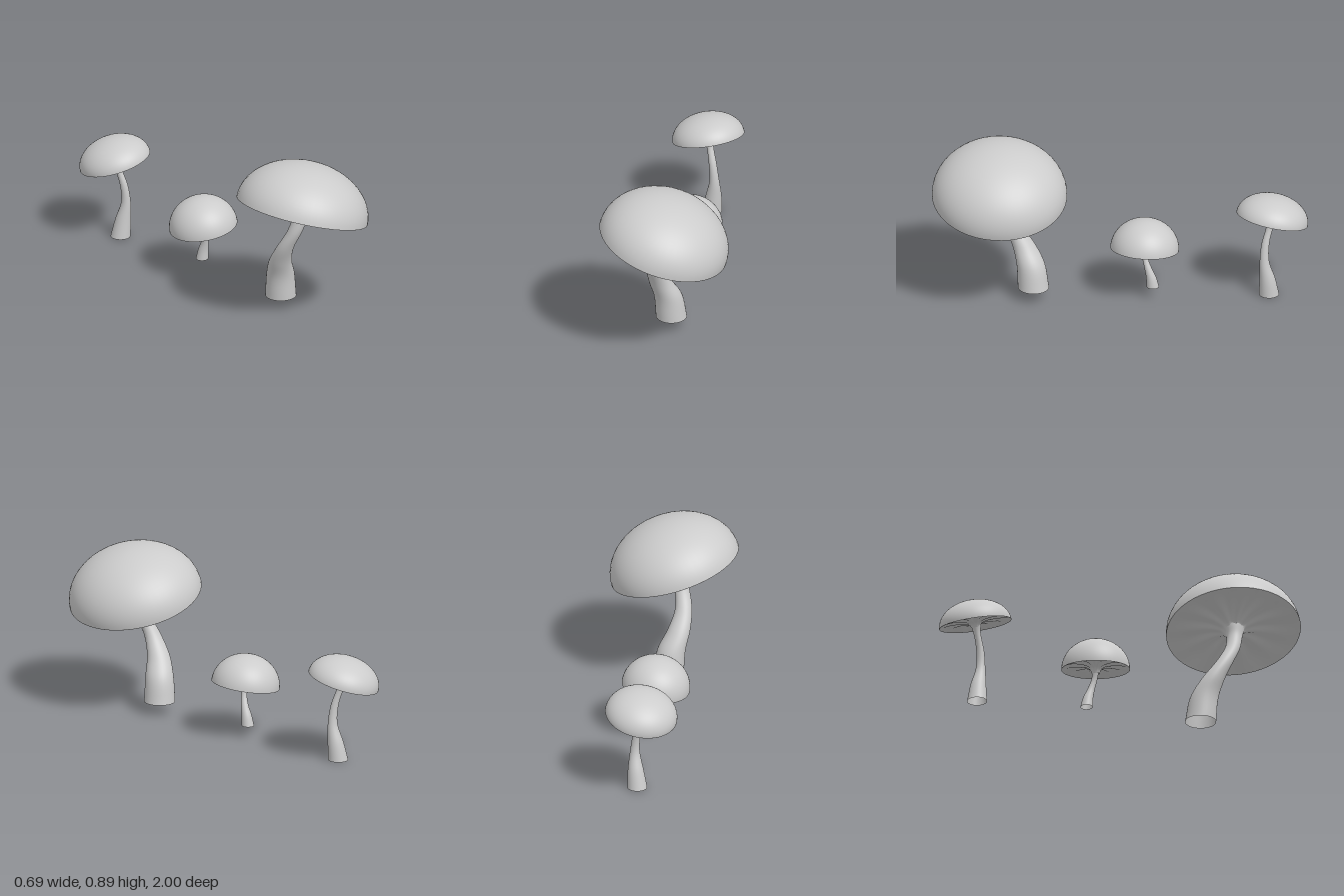
import * as THREE from 'three';
import { mergeVertices } from 'three/addons/utils/BufferGeometryUtils.js';

const material = new THREE.MeshStandardMaterial({ color: 0xcccccc, side: THREE.DoubleSide });

// Weld the seam and recompute smooth normals
function smooth(geometry) {
  geometry.deleteAttribute('uv');
  geometry.deleteAttribute('normal');
  const welded = mergeVertices(geometry, 1e-5);
  welded.computeVertexNormals();
  return welded;
}

function mesh(name, geometry) {
  const m = new THREE.Mesh(geometry, material);
  m.name = name;
  return m;
}

// Half-ellipsoid dome, from rim to apex
function domeGeometry(radius, height) {
  const points = [];
  for (let i = 0; i <= 20; i++) {
    const a = (i / 20) * Math.PI / 2;
    points.push(new THREE.Vector2(radius * Math.cos(a), height * Math.sin(a)));
  }
  points[20].x = 0;
  return smooth(new THREE.LatheGeometry(points, 48));
}

// Shallow recessed underside with soft radial folds
function gillGeometry(radius, height) {
  const profile = [[0.11, -0.14], [0.15, -0.03], [0.22, 0.05], [0.4, 0.11], [0.7, 0.1], [0.93, 0.03], [1, 0]];
  const curve = new THREE.SplineCurve(profile.map(([r, y]) => new THREE.Vector2(r * radius, y * height)));
  const geometry = new THREE.LatheGeometry(curve.getPoints(24), 96);
  const p = geometry.attributes.position;
  for (let i = 0; i < p.count; i++) {
    const r = Math.min(1, Math.hypot(p.getX(i), p.getZ(i)) / radius);
    const angle = Math.atan2(p.getZ(i), p.getX(i));
    const strength = Math.max(0, Math.sin(Math.PI * (r - 0.1) / 0.9));
    p.setY(i, p.getY(i) + 0.035 * height * strength * Math.sin(11 * angle));
  }
  return smooth(geometry);
}

// Curved open tube with level rings; each section is [x, y, z, radius]
function stemGeometry(sections) {
  const path = new THREE.CatmullRomCurve3(sections.map(([x, y, z]) => new THREE.Vector3(x, y, z)));
  const widths = new THREE.CatmullRomCurve3(sections.map((s) => new THREE.Vector3(s[3], 0, 0)), false, 'catmullrom');
  const geometry = new THREE.CylinderGeometry(1, 1, 1, 32, 32, true);
  const p = geometry.attributes.position;
  for (let i = 0; i < p.count; i++) {
    const t = THREE.MathUtils.clamp(p.getY(i) + 0.5, 0, 1);
    const c = path.getPoint(t);
    const r = widths.getPoint(t).x;
    p.setXYZ(i, c.x + p.getX(i) * r, c.y, c.z + p.getZ(i) * r);
  }
  return smooth(geometry);
}

function mushroom({ name, center, normal, radius, depth = radius, height, stem }) {
  const group = new THREE.Group();
  group.name = name;
  const cap = new THREE.Group();
  cap.name = 'cap';
  cap.add(mesh('dome', domeGeometry(radius, height)), mesh('gills', gillGeometry(radius, height)));
  cap.position.set(...center);
  cap.scale.z = depth / radius;
  cap.quaternion.setFromUnitVectors(new THREE.Vector3(0, 1, 0), new THREE.Vector3(...normal).normalize());
  group.add(cap, mesh('stem', stemGeometry(stem)));
  return group;
}

export function createModel() {
  const model = new THREE.Group();
  model.name = 'mushrooms';
  model.add(
    mushroom({
      name: 'largeMushroom', center: [-0.005, 0.617, 0.64], normal: [0.304, 1, 0],
      radius: 0.354, depth: 0.36, height: 0.265,
      stem: [
        [0.008, 0.065, 0.46, 0.083], [-0.008, 0.2, 0.475, 0.075], [-0.043, 0.3, 0.513, 0.06],
        [-0.06, 0.4, 0.57, 0.045], [-0.042, 0.5, 0.622, 0.04], [-0.02, 0.58, 0.64, 0.043], [-0.005, 0.64, 0.64, 0.06],
      ],
    }),
    mushroom({
      name: 'smallMushroom', center: [-0.004, 0.278, -0.132], normal: [-0.15, 1, -0.058],
      radius: 0.183, height: 0.166,
      stem: [
        [0.025, 0.065, -0.174, 0.033], [0.025, 0.12, -0.165, 0.027], [0.022, 0.17, -0.15, 0.02],
        [0.012, 0.22, -0.136, 0.016], [0, 0.265, -0.132, 0.018], [-0.004, 0.29, -0.132, 0.028],
      ],
    }),
    mushroom({
      name: 'tallMushroom', center: [-0.015, 0.438, -0.81], normal: [-0.19, 1, -0.22],
      radius: 0.194, height: 0.132,
      stem: [
        [0.008, 0, -0.793, 0.053], [0.018, 0.1, -0.783, 0.042], [0.024, 0.2, -0.768, 0.026],
        [0.014, 0.3, -0.773, 0.021], [-0.004, 0.39, -0.796, 0.019], [-0.015, 0.447, -0.81, 0.03],
      ],
    }),
  );
  return model;
}
